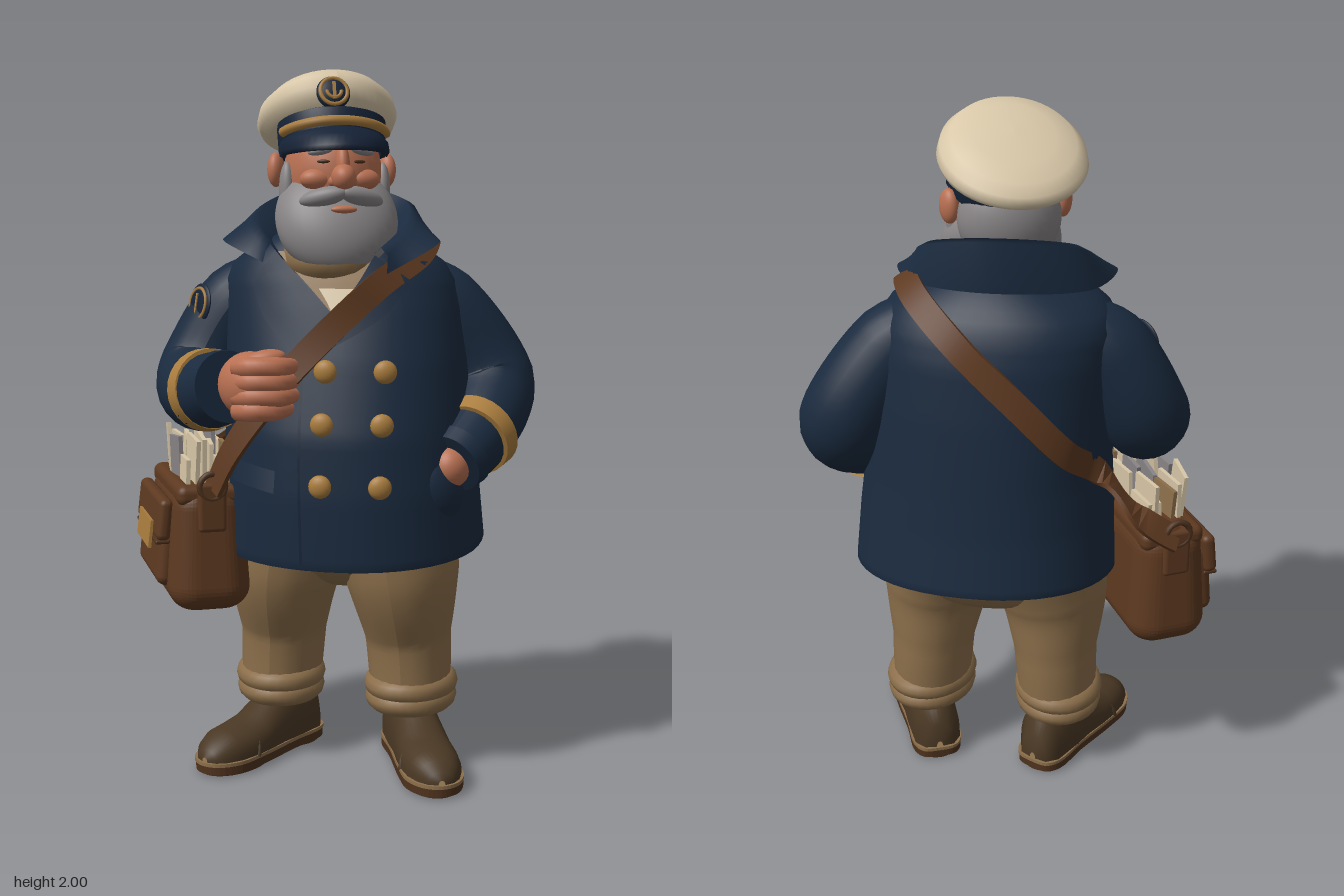
import * as THREE from 'three';
import { toCreasedNormals } from 'three/addons/utils/BufferGeometryUtils.js';
import { RoundedBoxGeometry } from 'three/addons/geometries/RoundedBoxGeometry.js';

const V = (p) => new THREE.Vector3(...p);
const mat = (name, color) => {
  const m = new THREE.MeshStandardMaterial({ color, side: THREE.DoubleSide });
  m.name = name;
  return m;
};
const navy = mat('navy wool', 0x1a2a3e), dark = mat('dark navy', 0x152236), khaki = mat('khaki', 0x8c6f4b),
  shoe = mat('shoe brown', 0x4a3824), leather = mat('bag leather', 0x5d3920), sole = mat('dark leather', 0x4e321d),
  gold = mat('gold', 0xaa7d3e), cream = mat('cream', 0xd8c7a8), grey = mat('grey hair', 0x898587), skin = mat('skin', 0xb87052);

function add(parent, name, geo, material, pos = [0, 0, 0], scale = [1, 1, 1], rot = [0, 0, 0]) {
  const m = new THREE.Mesh(geo, material);
  m.name = name;
  m.position.set(...pos); m.scale.set(...scale); m.rotation.set(...rot);
  parent.add(m);
  return m;
}
const ball = (parent, name, material, pos, scale, rot) =>
  add(parent, name, new THREE.SphereGeometry(1, 28, 18), material, pos, scale, rot);

// Surface through rows of points
function loft(rows, closed) {
  const n = rows[0].length, index = [], cols = closed ? n : n - 1;
  for (let i = 0; i < rows.length - 1; i++) for (let j = 0; j < cols; j++) {
    const a = i * n + j, b = i * n + (j + 1) % n;
    index.push(a, b, a + n, b, b + n, a + n);
  }
  const g = new THREE.BufferGeometry();
  g.setAttribute('position', new THREE.Float32BufferAttribute(rows.flat(2), 3));
  g.setIndex(index);
  g.computeVertexNormals();
  return g;
}
const smooth = (pts, n, loop = false) => new THREE.CatmullRomCurve3(pts.map(V), loop).getPoints(n).map((p) => p.toArray());

// Tube whose radius follows [x, y, z, r] keys
function limb(keys, seg = 28, sides = 24) {
  const c = new THREE.CatmullRomCurve3(keys.map((k) => V(k.slice(0, 3))));
  const g = new THREE.TubeGeometry(c, seg, 1, sides), p = g.attributes.position, v = new THREE.Vector3();
  for (let i = 0; i <= seg; i++) {
    const o = c.getPointAt(i / seg), t = c.getUtoTmapping(i / seg) * (keys.length - 1);
    const k = Math.min(Math.floor(t), keys.length - 2);
    const r = THREE.MathUtils.lerp(keys[k][3], keys[k + 1][3], t - k);
    for (let j = 0; j <= sides; j++) {
      const q = i * (sides + 1) + j;
      v.fromBufferAttribute(p, q).sub(o).multiplyScalar(r).add(o);
      p.setXYZ(q, v.x, v.y, v.z);
    }
  }
  g.computeVertexNormals();
  return g;
}
// Cylinder from a to b
function rod(parent, name, material, a, b, r1, r2) {
  const d = V(b).sub(V(a)), m = add(parent, name, new THREE.CylinderGeometry(r2, r1, d.length(), 28), material);
  m.position.copy(V(a).addScaledVector(d, 0.5));
  m.quaternion.setFromUnitVectors(new THREE.Vector3(0, 1, 0), d.normalize());
}

// Coat outline by height: [y, centre x, half width, front z, back z]
const PROFILE = [[0.67, 0.075, 0.385, 0.31, -0.385], [0.85, 0.075, 0.37, 0.315, -0.36], [1.0, 0.07, 0.355, 0.305, -0.345],
  [1.2, 0.06, 0.35, 0.25, -0.325], [1.35, 0.045, 0.345, 0.2, -0.305], [1.42, 0.035, 0.335, 0.175, -0.285],
  [1.47, 0.03, 0.305, 0.155, -0.26], [1.51, 0.03, 0.25, 0.14, -0.225], [1.54, 0.035, 0.19, 0.13, -0.19], [1.57, 0.035, 0.12, 0.11, -0.15]];
function profile(y) {
  let k = 0;
  while (k < PROFILE.length - 2 && PROFILE[k + 1][0] < y) k++;
  const a = PROFILE[k], b = PROFILE[k + 1], t = THREE.MathUtils.clamp((y - a[0]) / (b[0] - a[0]), 0, 1);
  return a.map((q, i) => q + (b[i] - q) * t);
}
const POW = 2.2;
// Point on the coat front (side 1) or back (side -1), lifted by a gap
function onCoat(x, y, gap = 0.01, side = 1) {
  const [, cx, w, f, b] = profile(y), zc = (f + b) / 2;
  const k = Math.pow(Math.max(0, 1 - Math.pow(Math.abs(x - cx) / w, POW)), 1 / POW);
  return [x, y, zc + side * (k * (f - b) / 2 + gap)];
}
function coatRing(y, s = 1, lift = 0) {
  const [, cx, w, f, b] = profile(y), pw = (q) => Math.sign(q) * Math.pow(Math.abs(q), 2 / POW);
  return Array.from({ length: 48 }, (_, i) => {
    const a = i / 48 * Math.PI * 2, z = (f + b) / 2 + s * pw(Math.cos(a)) * (f - b) / 2;
    return [cx + s * w * pw(Math.sin(a)), y + lift - 0.1 * z * Math.max(0, 1 - (y - 0.67) / 0.3), z];
  });
}

function buildCoat(g) {
  const rows = [coatRing(0.67, 0.02, 0.06), coatRing(0.67, 0.95, 0.03), coatRing(0.67, 0.98, -0.003)];
  for (let i = 0; i <= 36; i++) rows.push(coatRing(0.67 + 0.9 * i / 36));
  add(g, 'coat body', loft(rows, true), navy);
  // Collar that stands at the back and folds outward
  add(g, 'collar', loft([
    [[-.07, 1.47, .16], [-.13, 1.53, .05], [-.09, 1.55, -.1], [.03, 1.55, -.16], [.15, 1.55, -.1], [.19, 1.53, .03], [.15, 1.47, .15]],
    [[-.11, 1.52, .17], [-.18, 1.59, .04], [-.17, 1.655, -.11], [.03, 1.685, -.205], [.205, 1.645, -.125], [.24, 1.58, .01], [.2, 1.51, .16]],
    [[-.12, 1.5, .18], [-.205, 1.575, .055], [-.19, 1.645, -.12], [.03, 1.68, -.225], [.225, 1.635, -.135], [.265, 1.565, .02], [.22, 1.49, .165]],
    [[-.13, 1.47, .175], [-.27, 1.53, .1], [-.23, 1.53, -.11], [.03, 1.54, -.22], [.26, 1.53, -.13], [.34, 1.52, .06], [.22, 1.44, .175]],
  ].map((r) => smooth(r, 36)), false), navy);
  // Sweater, shirt corner and lapels over the chest
  const patch = (name, m, a, b, ga, gb) => {
    const ea = smooth(a.map((p) => [...p, 0]), 14), eb = smooth(b.map((p) => [...p, 0]), 14);
    add(g, name, loft([0, .25, .5, .75, 1].map((t) => ea.map((p, i) => onCoat(p[0] + (eb[i][0] - p[0]) * t,
      p[1] + (eb[i][1] - p[1]) * t, ga + (gb - ga) * t))), false), m);
  };
  const inR = [[-.1, 1.5], [0, 1.41], [.08, 1.33]], inL = [[.18, 1.49], [.14, 1.41], [.08, 1.33]];
  patch('sweater front', khaki, inR, inL, 0.008, 0.008);
  patch('shirt corner', cream, [[.035, 1.4], [.06, 1.365], [.08, 1.33]], [[.135, 1.4], [.11, 1.365], [.08, 1.33]], .013, .013);
  patch('right lapel', navy, inR, [[-.17, 1.42], [-.12, 1.32], [.01, 1.2]], .022, .016);
  patch('left lapel', navy, inL, [[.28, 1.42], [.22, 1.33], [.01, 1.2]], .024, .018);
  patch('closure seam', dark, [[0, 1.2], [.005, .9], [.01, .655]], [[.008, 1.2], [.013, .9], [.018, .655]], .004, .004);
  patch('right pocket flap', navy, [[-.2, .93], [-.13, .92], [-.06, .91]], [[-.2, .87], [-.13, .86], [-.06, .85]], .012, .022);
  ball(g, 'left pocket', navy, [.345, .85, .14], [.085, .11, .07], [0, .7, .35]);
  add(g, 'sweater neck', new THREE.TorusGeometry(0.105, 0.05, 14, 32), khaki, [.045, 1.49, .05], [1, 1, 1.1], [1.75, 0, 0]);
  for (const y of [1.18, 1.04, 0.875]) for (const x of [0.07, 0.23])
    add(g, 'button', new THREE.SphereGeometry(0.032, 18, 12), gold, onCoat(x, y, 0.008), [1, 1, 0.6], [0, (x - .07) * 2, 0]);
  // Sleeves with gold bands and hands
  add(g, 'right sleeve', limb([[-.13, 1.415, -.07, .09], [-.262, 1.35, -.05, .12], [-.372, 1.14, 0, .13], [-.335, 1.1, .12, .115], [-.215, 1.13, .25, .1]]), navy);
  rod(g, 'right cuff end', navy, [-.235, 1.125, .23], [-.205, 1.132, .262], .104, .1);
  rod(g, 'right cuff band', gold, [-.306, 1.107, .15], [-.272, 1.116, .19], .119, .114);
  add(g, 'left sleeve', limb([[.2, 1.415, -.09, .09], [.312, 1.345, -.115, .12], [.455, 1.12, -.155, .134], [.452, 1.01, -.03, .112], [.4, .925, .115, .09]]), navy);
  rod(g, 'left cuff end', navy, [.41, .94, .09], [.393, .92, .125], .098, .09);
  rod(g, 'left cuff band', gold, [.453, .995, -.008], [.437, .974, .036], .117, .11);
  ball(g, 'left hand', skin, [.392, .912, .13], [.055, .06, .06], [.5, -.3, 0]);
  ball(g, 'right palm', skin, [-.135, 1.14, .275], [.105, .092, .085], [0, -.7, 0]);
  [1.195, 1.155, 1.115, 1.078].forEach((y, i) => {
    const s = i === 3 ? -.015 : 0;
    add(g, 'finger', limb([[-.16, y - .005, .325, .026], [-.11, y, .35, .029], [-.04 + s, y, .328, .028], [-.015 + s, y, .27, .02]], 14, 12), skin);
  });
  ball(g, 'thumb', skin, [-.09, 1.212, .3], [.06, .027, .03], [0, .3, .2]);
  // Round sleeve badge
  const badge = new THREE.Group();
  badge.name = 'sleeve badge';
  badge.position.set(-.36, 1.345, .045);
  badge.lookAt(-.99, 1.5, .75);
  ball(badge, 'badge disc', dark, [0, 0, 0], [.06, .06, .012]);
  add(badge, 'badge ring', new THREE.TorusGeometry(.045, .005, 6, 24), gold, [0, 0, .007]);
  add(badge, 'badge bar', new THREE.BoxGeometry(.008, .06, .006), gold, [0, 0, .012]);
  g.add(badge);
}

function buildHead(root) {
  const h = new THREE.Group();
  h.name = 'head';
  h.position.set(.03, 1.7, .02); h.rotation.y = .42;
  root.add(h);
  ball(h, 'face', skin, [0, .01, 0], [.138, .165, .15]);
  ball(h, 'nose', skin, [0, -.002, .167], [.034, .037, .043]);
  ball(h, 'nose bridge', skin, [0, .035, .15], [.02, .055, .03], [-.2, 0, 0]);
  ball(h, 'hair', grey, [0, -.005, -.05], [.143, .14, .112]);
  const beard = new THREE.SphereGeometry(1, 36, 26).scale(.172, .16, .125), p = beard.attributes.position;
  for (let i = 0; i < p.count; i++) p.setZ(i, p.getZ(i) - .35 * p.getY(i));
  beard.computeVertexNormals();
  add(h, 'beard', beard, grey, [0, -.113, .062]);
  ball(h, 'lower lip', skin, [0, -.087, .176], [.036, .011, .014]);
  for (const s of [-1, 1]) {
    ball(h, 'cheek', skin, [s * .063, -.005, .112], [.048, .03, .034]);
    ball(h, 'nostril', skin, [s * .024, -.012, .156], [.016, .016, .02]);
    ball(h, 'moustache', grey, [s * .052, -.053, .155], [.07, .026, .03], [0, s * .4, -s * .2]);
    ball(h, 'eye', sole, [s * .05, .042, .137], [.018, .005, .007], [0, s * .35, 0]);
    ball(h, 'eyebrow', grey, [s * .058, .07, .137], [.036, .011, .014], [0, s * .4, -s * .15]);
    ball(h, 'ear', skin, [s * .158, .025, -.02], [.024, .048, .034], [0, s * .4, 0]);
    ball(h, 'sideburn', grey, [s * .135, -.03, .035], [.022, .075, .03]);
  }
  // Cap tilted to the back
  const c = new THREE.Group();
  c.name = 'cap';
  c.position.set(0, .09, -.01); c.rotation.x = -.28;
  h.add(c);
  const lathe = (pts) => new THREE.LatheGeometry(pts.map((q) => new THREE.Vector2(...q)), 48);
  add(c, 'cap band', lathe([[.135, -.03], [.15, -.03], [.153, .06], [.13, .07]]), dark);
  const crown = lathe([[.14, .045], [.165, .052], [.19, .072], [.2, .095], [.193, .122], [.165, .147], [.11, .163], [.05, .17], [0, .172]]);
  const q = crown.attributes.position;
  for (let i = 0; i < q.count; i++) q.setY(i, q.getY(i) + .26 * q.getZ(i) * q.getY(i) / .17);
  crown.computeVertexNormals();
  add(c, 'cap crown', crown, cream, [0, 0, -.06]);
  const arc = (r, y, out, drop) => Array.from({ length: 25 }, (_, i) => {
    const a = (i / 12 - 1) * 1.4, k = Math.cos(a);
    return [r * Math.sin(a), y - drop * k, r * k + out * k];
  });
  add(c, 'visor', loft([arc(.148, .008, 0, 0), arc(.156, -.004, .04, .025), arc(.157, -.022, .062, .047), arc(.15, -.034, .058, .047), arc(.14, -.03, 0, 0)], false), dark);
  add(c, 'cap braid', new THREE.TorusGeometry(.153, .014, 8, 32, 2.5), gold, [0, .022, 0], [1, 1, 1], [Math.PI / 2, 0, .32]);
  // Round cap emblem
  const e = new THREE.Group();
  e.name = 'cap emblem';
  e.position.set(-.015, .105, .136); e.rotation.x = -.05;
  c.add(e);
  ball(e, 'emblem disc', dark, [0, 0, 0], [.047, .047, .018]);
  add(e, 'emblem ring', new THREE.TorusGeometry(.037, .006, 6, 28), gold, [0, 0, .011]);
  add(e, 'emblem bar', new THREE.BoxGeometry(.009, .05, .006), gold, [0, 0, .018]);
  add(e, 'emblem arc', new THREE.TorusGeometry(.02, .005, 6, 16, Math.PI), gold, [0, 0, .017], [1, 1, 1], [0, 0, Math.PI]);
}

function buildLegs(g) {
  ball(g, 'trouser seat', khaki, [.065, .72, -.045], [.33, .2, .235]);
  const half = [[.05, -.238], [.074, -.2], [.076, -.08], [.086, .08], [.083, .17], [.048, .23]];
  const loop = [[0, -.245], ...half, [0, .248], ...half.map(([x, z]) => [-x, z]).reverse()];
  const slab = (s, depth) => new THREE.ExtrudeGeometry(new THREE.Shape(smooth(loop.map(([x, z]) => [x * s, -z * s, 0]), 56, true)
    .map((p) => new THREE.Vector2(p[0], p[1]))), { depth, bevelEnabled: false });
  for (const s of [-1, 1]) {
    const x = (d) => .055 + s * d;
    add(g, 'trouser leg', limb([[x(.145), .74, -.03, .185], [x(.177), .56, -.015, .164], [x(.19), .38, -.038, .125], [x(.2), .18, -.038, .116]]),
      khaki, [0, 0, 0], [1, 1, 1.2]);
    for (const [y, r] of [[.198, .095], [.238, .098]])
      add(g, 'trouser cuff', new THREE.TorusGeometry(r, .036, 12, 32), khaki, [x(.2), y, -.045], [1, 1.18, 1], [Math.PI / 2, 0, s * .2]);
    const f = new THREE.Group();
    f.name = 'shoe';
    f.position.set(x(.245), 0, .033); f.rotation.y = s * .43;
    g.add(f);
    const rows = [[-.238, .01, .06], [-.233, .045, .12], [-.2, .07, .2], [-.1, .075, .21], [-.03, .075, .18], [.04, .082, .135],
      [.1, .084, .122], [.16, .078, .117], [.205, .06, .1], [.23, .037, .075], [.24, .01, .055]].map(([z, w, t]) => Array.from({ length: 19 }, (_, i) => {
      const a = i / 18 * Math.PI;
      return [w * Math.cos(a) * (1 + .1 * Math.sin(a)), .035 + (t - .035) * Math.pow(Math.sin(a), .8), z];
    }));
    add(f, 'shoe upper', loft(rows, false), shoe);
    const flat = [-Math.PI / 2, 0, 0];
    add(f, 'shoe welt', slab(1, .01), khaki, [0, .032, 0], [1, 1, 1], flat);
    add(f, 'shoe sole', slab(.985, .024), sole, [0, .008, 0], [1, 1, 1], flat);
    add(f, 'shoe heel', new THREE.CylinderGeometry(.072, .07, .03, 28), sole, [0, .015, -.16], [1, 1, 1.1]);
    add(f, 'shoe tread', new THREE.CylinderGeometry(.082, .078, .03, 28), sole, [0, .015, .11], [1, 1, 1.55]);
    add(f, 'shoe toe seam', new THREE.TorusGeometry(.084, .007, 6, 20, Math.PI), shoe, [0, .038, .1], [1, 1, 1], [-.25, 0, 0]);
  }
}

function buildBag(root) {
  // Strap running over the left shoulder and across the back
  const pts = [[-.25, .84, .26], [-.2, .94, .272], ...[[-.11, 1.07], [-.02, 1.18], [.1, 1.31], [.2, 1.41]].map(([x, y]) => onCoat(x, y, .028)),
    [.28, 1.485, .04], [.285, 1.535, -.08], [.235, 1.51, -.19], ...[[.09, 1.41], [-.07, 1.265], [-.19, 1.12], [-.27, 1.01]].map(([x, y]) => onCoat(x, y, .016, -1)),
    [-.39, .91, -.195], [-.495, .83, -.165]];
  const curve = new THREE.CatmullRomCurve3(pts.map(V)), rows = [];
  for (let i = 0; i <= 90; i++) {
    const o = curve.getPointAt(i / 90), t = curve.getTangentAt(i / 90);
    const out = new THREE.Vector3(o.x - .05, Math.max(0, (o.y - 1.38) * 2.2), o.z + .06);
    const w = t.clone().cross(out).normalize(), n = w.clone().cross(t).normalize();
    rows.push([[-1, 0], [1, 0], [1, 1], [-1, 1]].map(([a, b]) => o.clone().addScaledVector(w, a * .037).addScaledVector(n, b * .014 - .004).toArray()));
  }
  add(root, 'shoulder strap', toCreasedNormals(loft(rows, true), .7), leather);
  const b = new THREE.Group();
  b.name = 'satchel';
  b.position.set(-.375, .67, .05); b.rotation.y = -1.05;
  root.add(b);
  // Body widens toward the bottom
  const body = new RoundedBoxGeometry(.49, .37, .22, 6, .075), p = body.attributes.position;
  for (let i = 0; i < p.count; i++)
    p.setXYZ(i, p.getX(i) * (1 - .3 * p.getY(i)), p.getY(i), p.getZ(i) * (1 - .6 * p.getY(i)));
  body.computeVertexNormals();
  add(b, 'satchel body', body, leather);
  add(b, 'satchel rim', new RoundedBoxGeometry(.45, .06, .19, 3, .025), leather, [0, .15, 0]);
  add(b, 'front pocket', new RoundedBoxGeometry(.36, .22, .06, 4, .028), leather, [-.02, -.01, .108], [1, 1, 1], [-.1, 0, 0]);
  add(b, 'pocket flap', new RoundedBoxGeometry(.39, .12, .04, 4, .018), leather, [-.02, .075, .122], [1, 1, 1], [-.12, 0, 0]);
  add(b, 'pocket trim', new RoundedBoxGeometry(.37, .012, .042, 2, .005), sole, [-.02, .012, .129]);
  add(b, 'name plate', new THREE.BoxGeometry(.22, .08, .009), gold, [-.015, .022, .152], [1, 1, 1], [-.12, 0, 0]);
  for (const s of [-1, 1]) {
    add(b, 'strap tab', new RoundedBoxGeometry(.03, .14, .08, 3, .012), leather, [s * .235, .12, 0]);
    add(b, 'strap loop', new THREE.TorusGeometry(.036, .009, 8, 20), sole, [s * .243, .18, 0], [1, 1, 1], [0, Math.PI / 2, 0]);
  }
  // Bundled letters
  for (let i = 0; i < 18; i++) {
    const r = (k) => Math.abs(Math.sin(i * 12.9 + k * 7.3) * 43.7) % 1;
    add(b, 'letter', new THREE.BoxGeometry(.09 + .05 * r(1), .18, .012), i % 6 === 4 ? grey : i % 7 === 2 ? khaki : cream,
      [-.1 + .12 * (i % 3), .14 + .09 * r(2), -.06 + .024 * Math.floor(i / 3)], [1, 1, 1], [(r(3) - .5) * .15, (r(4) - .5) * .3, (r(5) - .5) * .3]);
  }
}

export function createModel() {
  const root = new THREE.Group();
  root.name = 'old sailor with satchel';
  buildLegs(root);
  buildCoat(root);
  buildHead(root);
  buildBag(root);
  return root;
}
